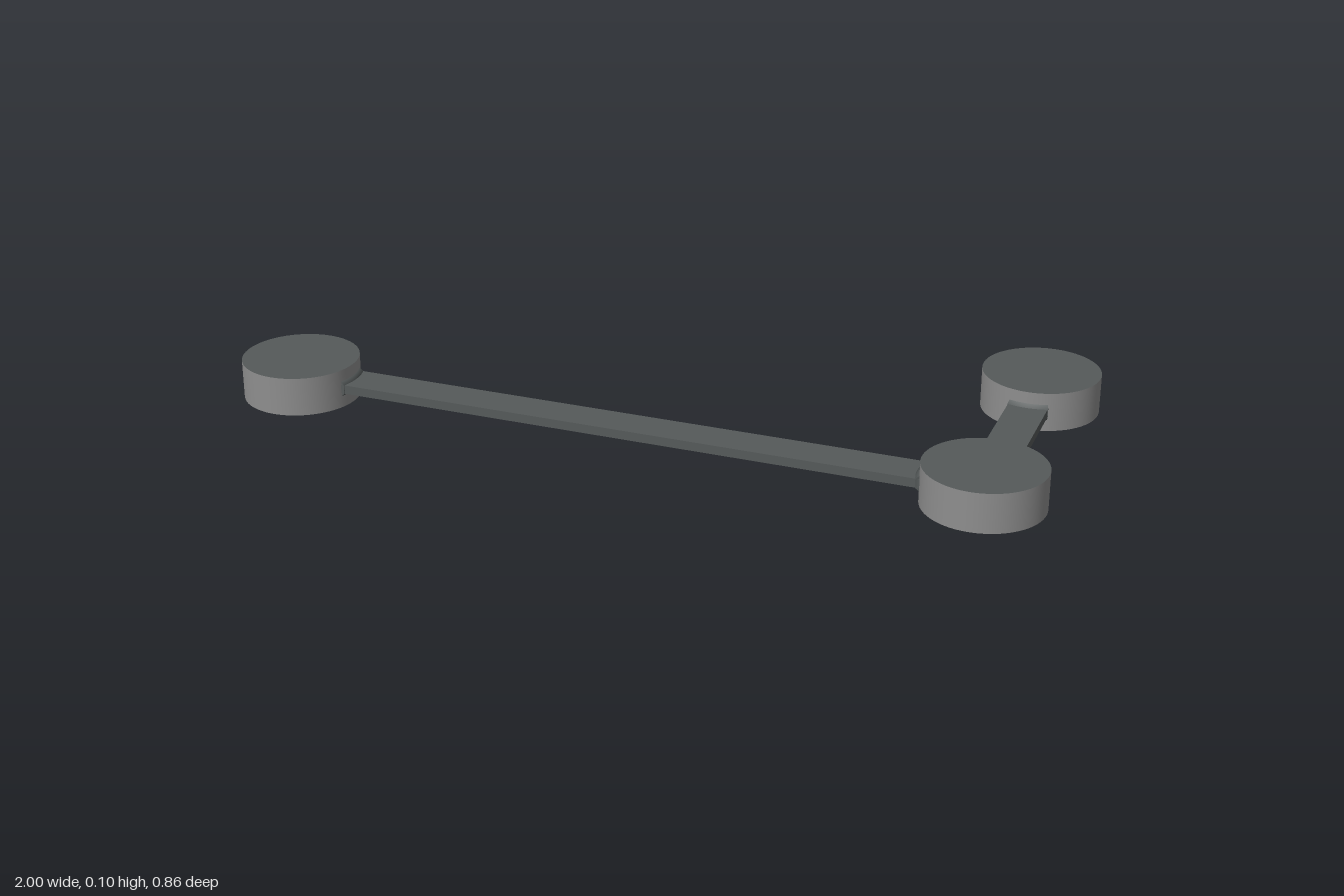
import * as THREE from 'three';

const R = 0.143, H = 0.096, MID = H / 2;      // disc radius, height, mid height
const BAR_W = 0.095, BAR_T = 0.022;           // flat link bar section
const X = 0.857, Z = 0.285;                   // disc centre offsets

export function createModel() {
  const sideGray = new THREE.MeshStandardMaterial({ color: 0x8e8e8e });
  sideGray.name = 'sideGray';
  const darkSlate = new THREE.MeshStandardMaterial({ color: 0x555a5a, side: THREE.DoubleSide });
  darkSlate.name = 'darkSlate';

  const model = new THREE.Group();
  model.name = 'linkedDiscs';

  function add(parent, name, geometry, material) {
    const mesh = new THREE.Mesh(geometry, material);
    mesh.name = name;
    parent.add(mesh);
    return mesh;
  }

  // Round disc: light rim, dark top and bottom
  function disc(name, x, z) {
    const geometry = new THREE.CylinderGeometry(R, R, H, 64);
    add(model, name, geometry, [sideGray, darkSlate, darkSlate]).position.set(x, MID, z);
  }

  // Flared collar hugging a disc where a bar meets it; phi is the bar direction from +z
  const section = [[R - 0.004, -0.02], [R, -0.019], [0.152, -BAR_T / 2],
    [0.152, BAR_T / 2], [R, 0.019], [R - 0.004, 0.02]].map(p => new THREE.Vector2(...p));
  const half = Math.asin(BAR_W / 2 / 0.147);
  function collar(name, x, z, phi) {
    const group = new THREE.Group();
    group.name = name;
    group.position.set(x, MID, z);
    add(group, 'collarFace', new THREE.LatheGeometry(section, 12, phi - half, 2 * half), darkSlate);
    for (const s of [-1, 1]) {
      const end = add(group, 'collarEnd', new THREE.ShapeGeometry(new THREE.Shape(section)), darkSlate);
      end.rotation.y = phi + s * half - Math.PI / 2;
    }
    model.add(group);
  }

  disc('leftFrontDisc', X, Z);
  disc('rightFrontDisc', -X, Z);
  disc('leftBackDisc', X, -Z);

  // Long bar across the front, short bar along the left side
  const inset = 0.26; // bar ends stop inside the discs
  add(model, 'longBar', new THREE.BoxGeometry(2 * X - inset, BAR_T, BAR_W), darkSlate)
    .position.set(0, MID, Z);
  add(model, 'shortBar', new THREE.BoxGeometry(BAR_W, BAR_T, 2 * Z - inset), darkSlate)
    .position.set(X, MID, 0);

  collar('longBarLeftCollar', X, Z, -Math.PI / 2);
  collar('longBarRightCollar', -X, Z, Math.PI / 2);
  collar('shortBarFrontCollar', X, Z, Math.PI);
  collar('shortBarBackCollar', X, -Z, 0);

  return model;
}
